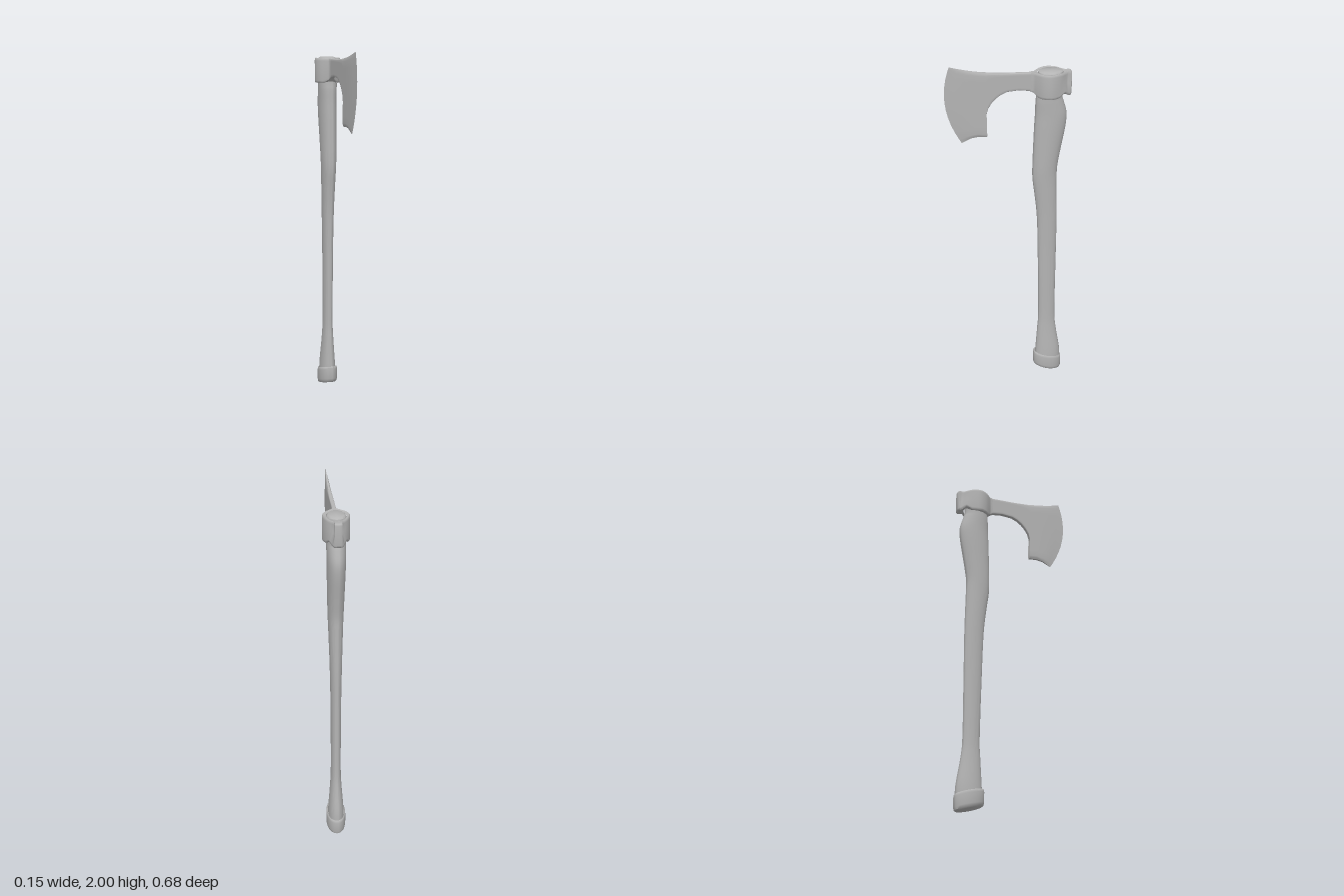
import * as THREE from 'three';
import { toCreasedNormals } from 'three/addons/utils/BufferGeometryUtils.js';

const V = (x, y, z) => new THREE.Vector3(x, y, z);

// Skins closed loops of points; ends are closed with a fan when capped
function loft(sections, capped = true) {
  const n = sections[0].length, pos = [], idx = [];
  sections.forEach(s => s.forEach(p => pos.push(p.x, p.y, p.z)));
  for (let i = 0; i < sections.length - 1; i++) {
    for (let j = 0; j < n; j++) {
      const k = (j + 1) % n, a = i * n + j, b = i * n + k;
      idx.push(a, a + n, b, b, a + n, b + n);
    }
  }
  if (capped) {
    [0, sections.length - 1].forEach((i, end) => {
      const c = V(0, 0, 0);
      sections[i].forEach(p => c.addScaledVector(p, 1 / n));
      const ci = pos.length / 3;
      pos.push(c.x, c.y, c.z);
      for (let j = 0; j < n; j++) {
        const a = i * n + j, b = i * n + (j + 1) % n;
        if (end) idx.push(ci, b, a); else idx.push(ci, a, b);
      }
    });
  }
  const g = new THREE.BufferGeometry();
  g.setAttribute('position', new THREE.Float32BufferAttribute(pos, 3));
  g.setIndex(idx);
  return toCreasedNormals(g, 0.75);
}

// Horizontal ellipse, optionally tilted along z
function ellipse(y, zc, rx, rz, tilt = 0, n = 36) {
  return Array.from({ length: n }, (_, i) => {
    const a = i / n * Math.PI * 2, dz = Math.sin(a) * rz;
    return V(Math.cos(a) * rx, y + tilt * dz, zc + dz);
  });
}

function handleGeometry() {
  // y, front z, back z, half width
  const rows = [
    [0.07, -0.160, -0.312, 0.046], [0.15, -0.164, -0.308, 0.043], [0.30, -0.173, -0.284, 0.032],
    [0.42, -0.178, -0.275, 0.028], [0.80, -0.170, -0.275, 0.029], [1.05, -0.162, -0.275, 0.033],
    [1.20, -0.147, -0.272, 0.037], [1.30, -0.134, -0.270, 0.040], [1.38, -0.132, -0.271, 0.043],
    [1.50, -0.135, -0.290, 0.046], [1.62, -0.139, -0.311, 0.049], [1.70, -0.143, -0.315, 0.050],
    [1.77, -0.145, -0.297, 0.051], [1.81, -0.149, -0.288, 0.051], [1.93, -0.155, -0.293, 0.052],
  ];
  const edges = new THREE.CatmullRomCurve3(rows.map(r => V(r[1], r[0], r[2])), false, 'catmullrom');
  const widths = new THREE.CatmullRomCurve3(rows.map(r => V(r[3], 0, 0)), false, 'catmullrom');
  const sections = [];
  for (let i = 0; i <= 56; i++) {
    const e = edges.getPoint(i / 56), w = widths.getPoint(i / 56).x;
    sections.push(ellipse(e.y, (e.x + e.z) / 2, w, (e.x - e.z) / 2));
  }
  // softly domed top
  sections.push(ellipse(1.941, -0.224, 0.049, 0.066), ellipse(1.946, -0.224, 0.042, 0.057));
  return loft(sections);
}

function pommelGeometry() {
  const rows = [[0.019, 0.85], [0.025, 0.95], [0.04, 1], [0.098, 1], [0.110, 0.98], [0.114, 0.93], [0.108, 0.86]];
  return loft(rows.map(([y, s]) => ellipse(y, -0.234, 0.055 * s, 0.084 * s, 0.26)));
}

// Mirrored eye outline, run from the blade side round by +x to the poll and back
function eyeOutline(half, n = 64) {
  const pts = half.map(([x, z]) => V(x, 0, z));
  const other = half.slice(1, -1).reverse().map(([x, z]) => V(-x, 0, z));
  const curve = new THREE.CatmullRomCurve3([...pts, ...other], true, 'centripetal');
  return Array.from({ length: n }, (_, i) => curve.getPoint(i / n)).reverse();
}

function eyeGeometry() {
  const zc = -0.224;
  const body = [[0, -0.108], [0.010, -0.114], [0.014, -0.130], [0.032, -0.147], [0.059, -0.175], [0.073, -0.215]];
  const upper = eyeOutline([...body, [0.058, -0.265], [0.035, -0.295], [0.020, -0.312], [0.020, -0.334], [0, -0.338]]);
  const lower = eyeOutline([...body, [0.060, -0.265], [0.045, -0.298], [0.034, -0.316], [0.022, -0.334], [0, -0.337]]);
  // wavy lower rim rising towards the blade
  const low = z => 1.804 + 0.02 * Math.exp(-(((z + 0.295) / 0.022) ** 2))
    + 0.032 * THREE.MathUtils.smoothstep(z, -0.16, -0.11);
  const high = z => 1.938 + 0.004 * THREE.MathUtils.smoothstep(z, -0.3, -0.25);
  const ring = (src, inset, yOf) => src.map(p => V(p.x * inset, yOf(p.z), zc + (p.z - zc) * inset));
  const bore = (src, yOf) => src.map(p => {
    const a = Math.atan2((p.z - zc) / 0.069, p.x / 0.052);
    const z = zc + Math.sin(a) * 0.069;
    return V(Math.cos(a) * 0.052, yOf(z), z);
  });
  return loft([
    bore(lower, z => low(z) + 0.004),
    ring(lower, 0.94, low),
    ring(lower, 0.985, z => low(z) + 0.004),
    ring(lower, 1, z => low(z) + 0.014),
    ring(upper, 1, z => low(z) + 0.06),
    ring(upper, 1, z => high(z) - 0.014),
    ring(upper, 0.985, z => high(z) - 0.004),
    ring(upper, 0.94, high),
    bore(upper, z => high(z) - 0.004),
  ], false);
}

function bladeGeometry() {
  // top z, top y, bottom z, bottom y, half thickness, edge bulge
  const rows = [
    [-0.150, 1.940, -0.150, 1.818, 0.011, 0], [-0.110, 1.942, -0.110, 1.837, 0.011, 0],
    [-0.055, 1.944, -0.055, 1.845, 0.011, 0], [0.010, 1.946, 0.010, 1.840, 0.011, 0],
    [0.040, 1.948, 0.042, 1.826, 0.011, 0], [0.060, 1.950, 0.070, 1.806, 0.011, 0],
    [0.085, 1.952, 0.094, 1.780, 0.011, 0], [0.100, 1.953, 0.112, 1.750, 0.011, 0],
    [0.110, 1.954, 0.124, 1.705, 0.011, 0], [0.117, 1.955, 0.125, 1.655, 0.011, 0],
    [0.125, 1.957, 0.118, 1.586, 0.011, 0], [0.170, 1.963, 0.165, 1.591, 0.011, 0.010],
    [0.220, 1.973, 0.205, 1.585, 0.0095, 0.025], [0.270, 1.986, 0.235, 1.570, 0.006, 0.042],
    [0.315, 2.000, 0.255, 1.560, 0.0008, 0.055],
  ];
  const steps = [0, 0.02, 0.05, 0.15, 0.25, 0.35, 0.45, 0.55, 0.65, 0.75, 0.85, 0.95, 0.98, 1];
  return loft(rows.map(([tz, ty, bz, by, t, bulge]) => {
    const at = (v, side) => {
      const rim = Math.min(v, 1 - v);
      const thick = t * (rim < 0.01 ? 0.45 : rim < 0.03 ? 0.85 : 1);
      return V(side * thick, ty + (by - ty) * v, tz + (bz - tz) * v + bulge * 4 * v * (1 - v));
    };
    return [...steps.map(v => at(v, 1)), ...steps.slice().reverse().map(v => at(v, -1))];
  }));
}

export function createModel() {
  const grey = new THREE.MeshStandardMaterial({ color: 0xb4b4b4 });
  grey.name = 'plain grey';
  const axe = new THREE.Group();
  axe.name = 'axe';
  const parts = {
    handle: handleGeometry(),
    pommelCap: pommelGeometry(),
    eyeCollar: eyeGeometry(),
    blade: bladeGeometry(),
  };
  for (const [name, geometry] of Object.entries(parts)) {
    const mesh = new THREE.Mesh(geometry, grey);
    mesh.name = name;
    axe.add(mesh);
  }
  return axe;
}
